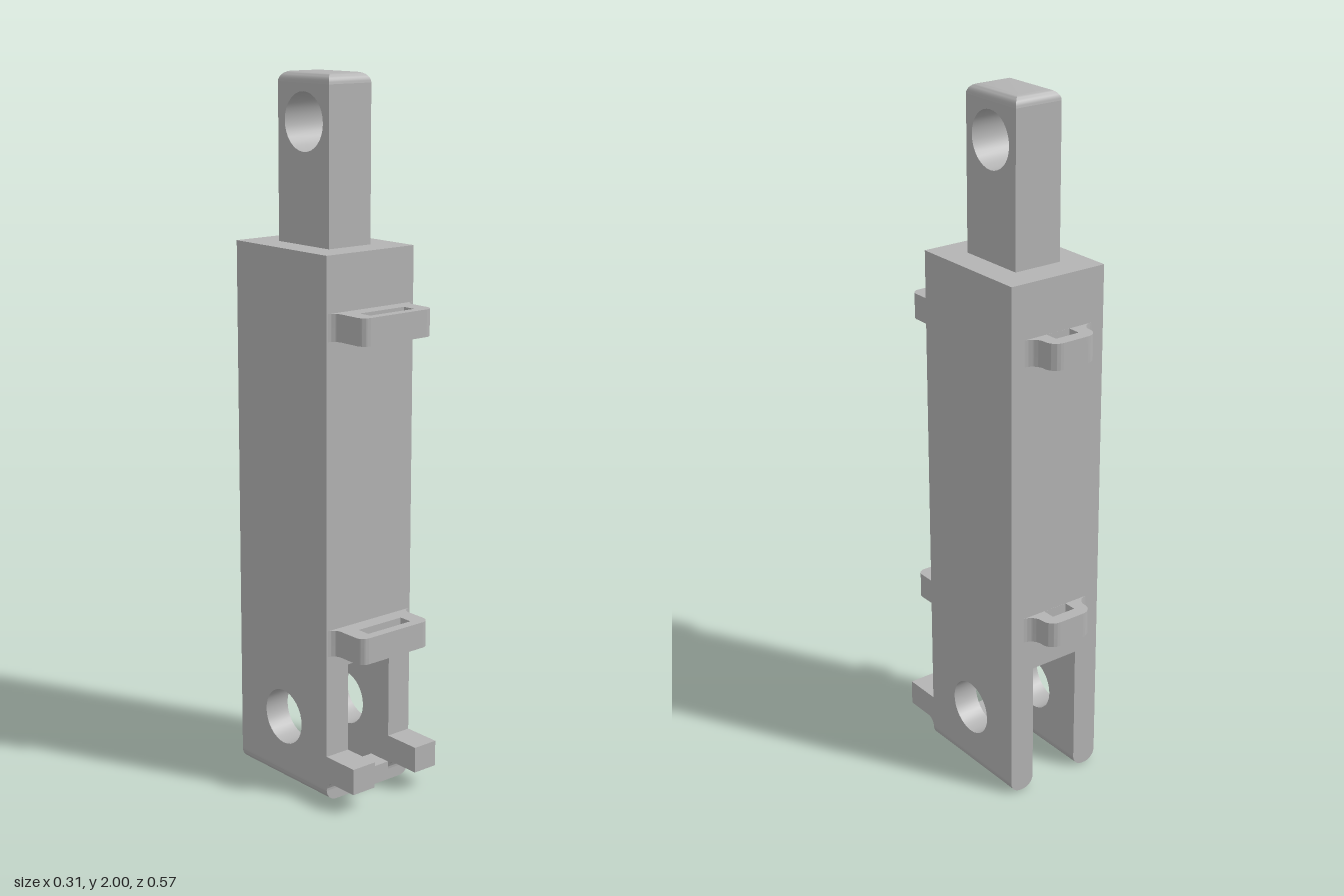
import * as THREE from 'three';
import { toCreasedNormals } from 'three/addons/utils/BufferGeometryUtils.js';

const grey = new THREE.MeshStandardMaterial({ color: 0xb3b3b3 });
grey.name = 'satin grey';

// Main dimensions
const HALF_W = 0.154, FRONT = 0.173, BACK = -0.212;
const SLOT = 0.076, SLOT_TOP = 0.39, PIN_Z = -0.017, PIN_R = 0.08;

// Extrude a shape, centred on the extrusion axis
function extrude(shape, depth) {
  const g = new THREE.ExtrudeGeometry(shape, { depth, bevelEnabled: false, curveSegments: 16 });
  g.translate(0, 0, -depth / 2);
  return toCreasedNormals(g, 0.5);
}
const alongX = (shape, depth) => extrude(shape, depth).rotateY(-Math.PI / 2); // shape drawn in (z, y)
const alongY = (shape, depth) => extrude(shape, depth).rotateX(Math.PI / 2);  // shape drawn in (x, z)

function rect(x0, y0, x1, y1) {
  return new THREE.Shape([[x0, y0], [x1, y0], [x1, y1], [x0, y1]].map(p => new THREE.Vector2(...p)));
}

function box(x0, x1, y0, y1, z0, z1) {
  return new THREE.BoxGeometry(x1 - x0, y1 - y0, z1 - z0)
    .translate((x0 + x1) / 2, (y0 + y1) / 2, (z0 + z1) / 2);
}

// Side plate with a round pin hole
function drilledPlate(z0, z1, y0, y1, holeY, thickness) {
  const s = rect(z0, y0, z1, y1);
  s.holes.push(new THREE.Path().absarc(PIN_Z, holeY, PIN_R, 0, Math.PI * 2, true));
  return alongX(s, thickness);
}

// Strap loop outline: flared foot, rounded outer corners, window
function loopShape(half, reach, flare, corner, winHalf, win0, win1) {
  const s = new THREE.Shape();
  s.moveTo(-half - flare, 0);
  s.absarc(-half - flare, flare, flare, -Math.PI / 2, 0, false);
  s.absarc(-half + corner, reach - corner, corner, Math.PI, Math.PI / 2, true);
  s.absarc(half - corner, reach - corner, corner, Math.PI / 2, 0, true);
  s.absarc(half + flare, flare, flare, Math.PI, Math.PI * 1.5, false);
  s.closePath();
  s.holes.push(rect(-winHalf, win0, winHalf, win1));
  return s;
}

// Rod tip: rectangular rings drawn inwards along a quarter circle
function roundedCap(hx, z0, z1, y, r) {
  const pos = [], idx = [], n = 8;
  for (let k = 0; k <= n; k++) {
    const a = k / n * Math.PI / 2, i = r * (1 - Math.cos(a)), h = y + r * Math.sin(a);
    pos.push(-hx + i, h, z1 - i, hx - i, h, z1 - i, hx - i, h, z0 + i, -hx + i, h, z0 + i);
    if (k === n) continue;
    for (let j = 0; j < 4; j++) {
      const p = k * 4 + j, q = k * 4 + (j + 1) % 4;
      idx.push(p, q, q + 4, p, q + 4, p + 4);
    }
  }
  const t = n * 4;
  idx.push(t, t + 1, t + 2, t, t + 2, t + 3);
  const g = new THREE.BufferGeometry();
  g.setAttribute('position', new THREE.Float32BufferAttribute(pos, 3));
  g.setIndex(idx);
  return toCreasedNormals(g.toNonIndexed(), 0.5);
}

export function createModel() {
  const model = new THREE.Group();
  model.name = 'clevisActuator';
  const add = (name, geometry, x = 0, y = 0, z = 0) => {
    const m = new THREE.Mesh(geometry, grey);
    m.name = name;
    m.position.set(x, y, z);
    model.add(m);
    return m;
  };

  // Housing
  add('housing', box(-HALF_W, HALF_W, SLOT_TOP, 1.54, BACK, FRONT));

  // Top rod with pin hole and rounded tip
  const tip = 0.028;
  add('rod', drilledPlate(-0.125, 0.087, 1.54, 2 - tip, 1.87, 0.148));
  add('rodTip', roundedCap(0.074, -0.125, 0.087, 2 - tip, tip));

  // Fork prongs, their rounded feet and the front tabs
  const prongW = HALF_W - SLOT, r = 0.035, midX = (HALF_W + SLOT) / 2;
  const foot = new THREE.Shape();
  foot.moveTo(-prongW / 2, r);
  foot.absarc(-prongW / 2 + r, r, r, Math.PI, Math.PI * 1.5, false);
  foot.absarc(prongW / 2 - r, r, r, Math.PI * 1.5, Math.PI * 2, false);
  foot.closePath();

  const tab = new THREE.Shape();
  tab.moveTo(FRONT, 0.135);
  tab.lineTo(FRONT, 0.032);
  tab.absarc(FRONT + 0.028, 0.032, 0.028, Math.PI, Math.PI / 2, true);
  tab.lineTo(0.287, 0.06);
  tab.lineTo(0.287, 0.135);
  tab.closePath();

  for (const side of [-1, 1]) {
    const label = side > 0 ? 'left' : 'right';
    add(label + 'Prong', drilledPlate(BACK, FRONT, r, SLOT_TOP, 0.195, prongW), side * midX);
    add(label + 'ProngFoot', extrude(foot, FRONT - BACK), side * midX, 0, (FRONT + BACK) / 2);
    add(label + 'FrontTab', alongX(tab, prongW), side * midX);
  }

  // Cross bar joining the prongs at the front
  add('crossBar', box(-midX, midX, 0, 0.055, 0.1, FRONT));

  // Strap loops: wide on the front, narrow on the back
  const frontLoop = loopShape(0.125, 0.114, 0.028, 0.026, 0.078, 0.046, 0.086);
  const backLoop = loopShape(0.076, 0.076, 0.038, 0.036, 0.038, 0.0005, 0.039);
  for (const y of [0.467, 1.348]) add('frontLoop', alongY(frontLoop, 0.075), 0, y, FRONT);
  for (const y of [0.523, 1.348]) add('backLoop', alongY(backLoop, 0.075), 0, y, BACK).rotation.y = Math.PI;

  return model;
}
